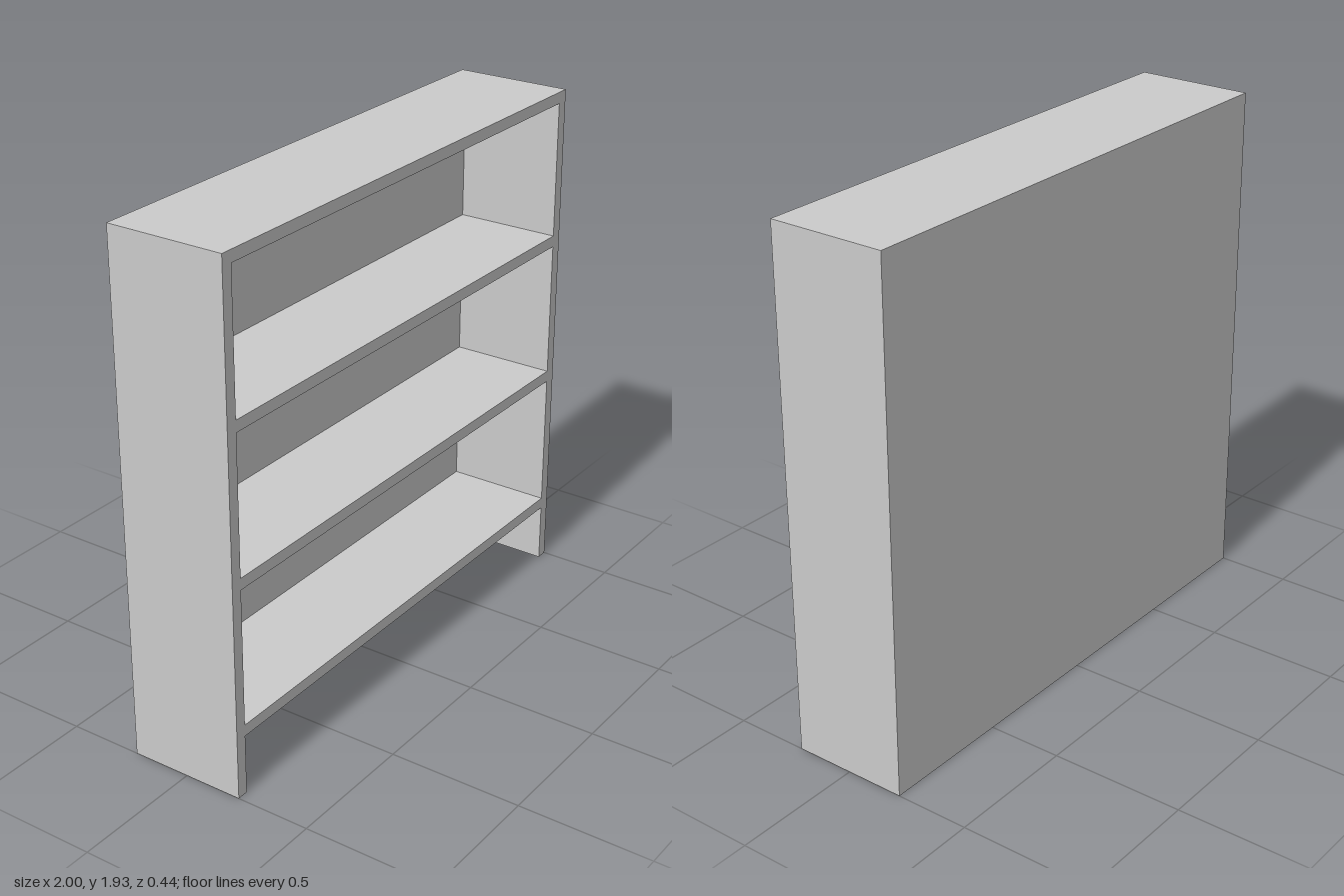
import * as THREE from 'three';

const W = 2, H = 1.935, D = 0.444; // overall size
const T = 0.043;                   // board thickness

export function createModel() {
  const model = new THREE.Group();
  model.name = 'bookcase';
  const material = new THREE.MeshStandardMaterial({ color: 0xcccccc });

  const board = (name, w, h, d, x, y, z) => {
    const mesh = new THREE.Mesh(new THREE.BoxGeometry(w, h, d), material);
    mesh.name = name;
    mesh.position.set(x, y, z);
    model.add(mesh);
  };

  // Side panels, full height and depth
  for (const [name, s] of [['leftSide', 1], ['rightSide', -1]]) {
    board(name, T, H, D, s * (W - T) / 2, H / 2, 0);
  }

  // Top board and back panel fit between the sides
  const innerW = W - 2 * T;
  board('top', innerW, T, D, 0, H - T / 2, 0);
  board('backPanel', innerW, H - T, T, 0, (H - T) / 2, -(D - T) / 2);

  // Evenly spaced shelves, the lowest raised above the floor
  for (let i = 0; i < 3; i++) {
    board(`shelf${i + 1}`, innerW, T, D - T, 0, 0.247 + i * 0.556, T / 2);
  }
  return model;
}
